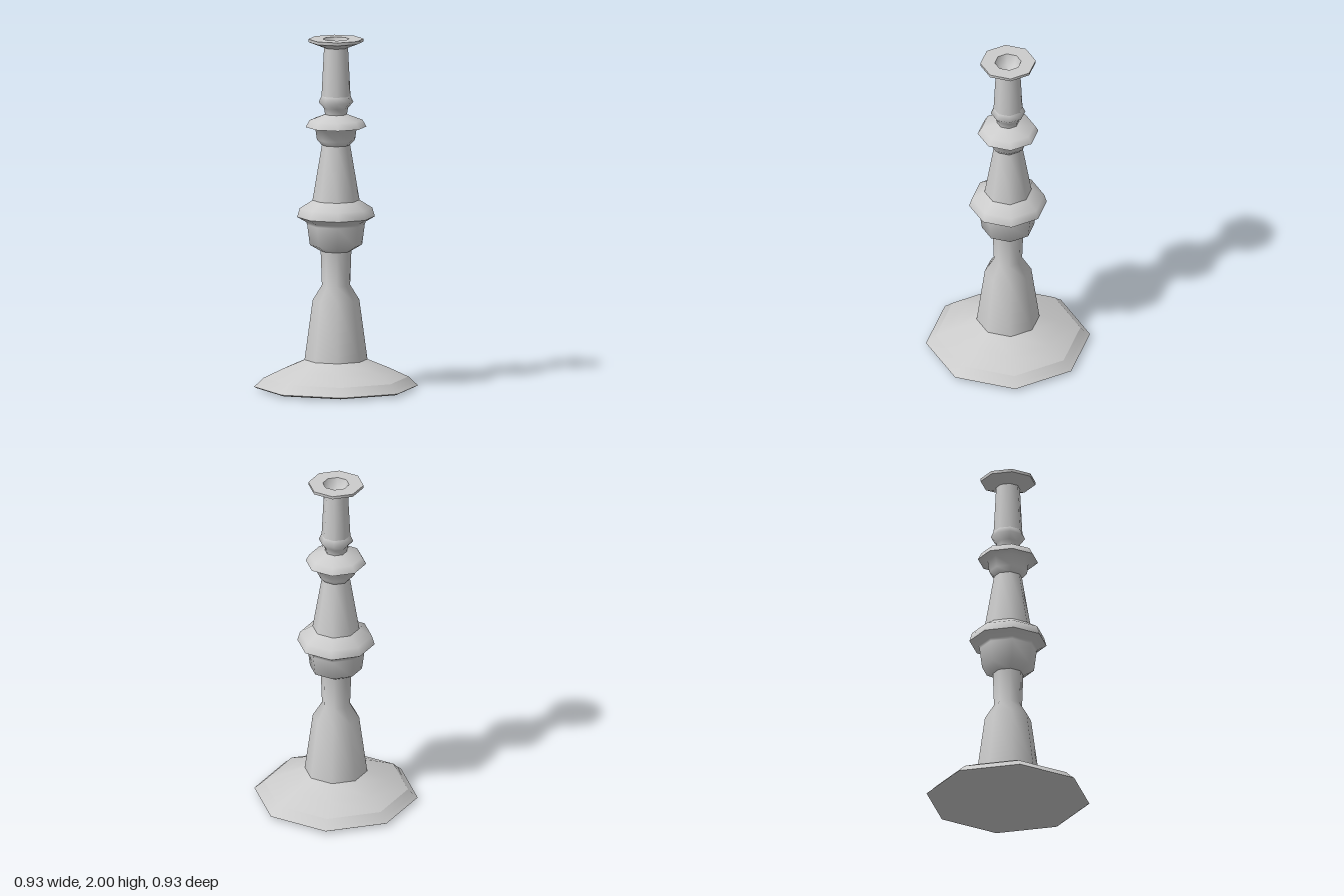
import * as THREE from 'three';

const SIDES = 8;

export function createModel() {
  const group = new THREE.Group();
  const material = new THREE.MeshStandardMaterial({ color: 0xcccccc });

  // Eight-sided turned section; profile is [radius, height] from bottom to top
  const turn = (name, profile) => {
    const points = profile.map(([r, y]) => new THREE.Vector2(r, y));
    const mesh = new THREE.Mesh(new THREE.LatheGeometry(points, SIDES), material);
    mesh.name = name;
    group.add(mesh);
  };

  // Foot
  turn('footUnderside', [[0, 0], [0.4, 0.002], [0.45, 0.01], [0.465, 0.018]]);
  turn('footRim', [[0.465, 0.018], [0.44, 0.038], [0.41, 0.068]]);
  turn('footSlope', [[0.41, 0.068], [0.3, 0.12], [0.178, 0.17]]);

  // Lower stem
  turn('lowerStem', [[0.178, 0.17], [0.132, 0.51], [0.08, 0.595], [0.087, 0.79]]);

  // Middle knop
  turn('knopCup', [[0.087, 0.79], [0.148, 0.825], [0.163, 0.94], [0.168, 0.955], [0.22, 0.985]]);
  turn('knopTop', [[0.22, 0.985], [0.205, 1.035], [0.133, 1.08]]);

  // Upper stem and collar
  turn('upperStem', [[0.133, 1.08], [0.08, 1.395]]);
  turn('collar', [[0.08, 1.395], [0.108, 1.425], [0.117, 1.49], [0.172, 1.498]]);

  // Drip pan
  turn('dripPan', [[0.172, 1.498], [0.15, 1.537], [0.062, 1.57]]);

  // Candle holder with flared lip
  turn('neckBead', [[0.062, 1.57], [0.068, 1.605], [0.098, 1.64], [0.082, 1.675]]);
  turn('candleTube', [[0.082, 1.675], [0.068, 1.95]]);
  turn('lipUnderside', [[0.068, 1.95], [0.156, 1.983]]);
  turn('lipEdge', [[0.156, 1.983], [0.157, 2]]);
  turn('lipTop', [[0.157, 2], [0.075, 2]]);

  // Candle socket
  turn('socket', [[0.075, 2], [0.055, 1.94], [0, 1.92]]);

  return group;
}
